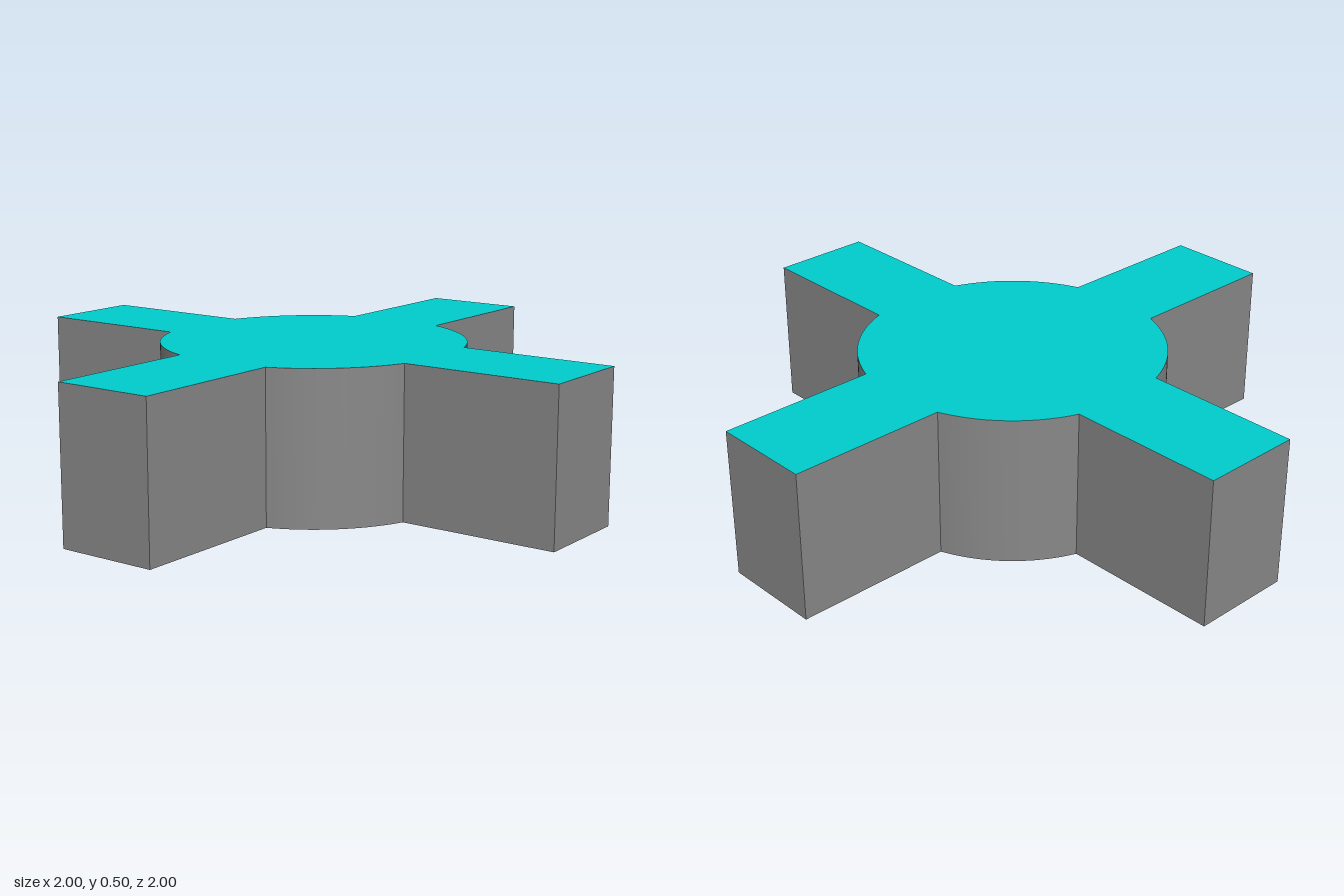
import * as THREE from 'three';
import { toCreasedNormals } from 'three/addons/utils/BufferGeometryUtils.js';

const RADIUS = 0.5, REACH = 1, HALF_WIDTH = 0.17, HEIGHT = 0.5;

// Outline: a round hub with four straight arms
function crossOutline() {
  const shape = new THREE.Shape();
  const spread = Math.asin(HALF_WIDTH / RADIUS);
  const centre = new THREE.Vector2();
  for (let i = 0; i < 4; i++) {
    const angle = i * Math.PI / 2;
    const a = new THREE.Vector2(REACH, -HALF_WIDTH).rotateAround(centre, angle);
    const b = new THREE.Vector2(REACH, HALF_WIDTH).rotateAround(centre, angle);
    if (i === 0) shape.moveTo(a.x, a.y);
    else shape.lineTo(a.x, a.y);
    shape.lineTo(b.x, b.y);
    shape.absarc(0, 0, RADIUS, angle + spread, angle + Math.PI / 2 - spread, false);
  }
  shape.closePath();
  return shape;
}

// Upright walls only: the extrusion without its end caps
function wallGeometry(shape) {
  const solid = new THREE.ExtrudeGeometry(shape, { depth: HEIGHT, bevelEnabled: false, curveSegments: 16 });
  const { start, count } = solid.groups[1];
  const walls = new THREE.BufferGeometry();
  const positions = solid.attributes.position.array.slice(start * 3, (start + count) * 3);
  walls.setAttribute('position', new THREE.BufferAttribute(positions, 3));
  walls.rotateX(-Math.PI / 2);
  return toCreasedNormals(walls, Math.PI / 6);
}

export function createModel() {
  const group = new THREE.Group();
  const darkGrey = new THREE.MeshStandardMaterial({ color: 0x888888 });
  const teal = new THREE.MeshStandardMaterial({ color: 0x00cccc });
  const shape = crossOutline();

  const add = (name, geometry, material) => {
    const mesh = new THREE.Mesh(geometry, material);
    mesh.name = name;
    group.add(mesh);
  };

  add('sideWalls', wallGeometry(shape), darkGrey);
  add('topFace', new THREE.ShapeGeometry(shape, 16).rotateX(-Math.PI / 2).translate(0, HEIGHT, 0), teal);
  add('bottomFace', new THREE.ShapeGeometry(shape, 16).rotateX(Math.PI / 2), darkGrey);
  return group;
}
